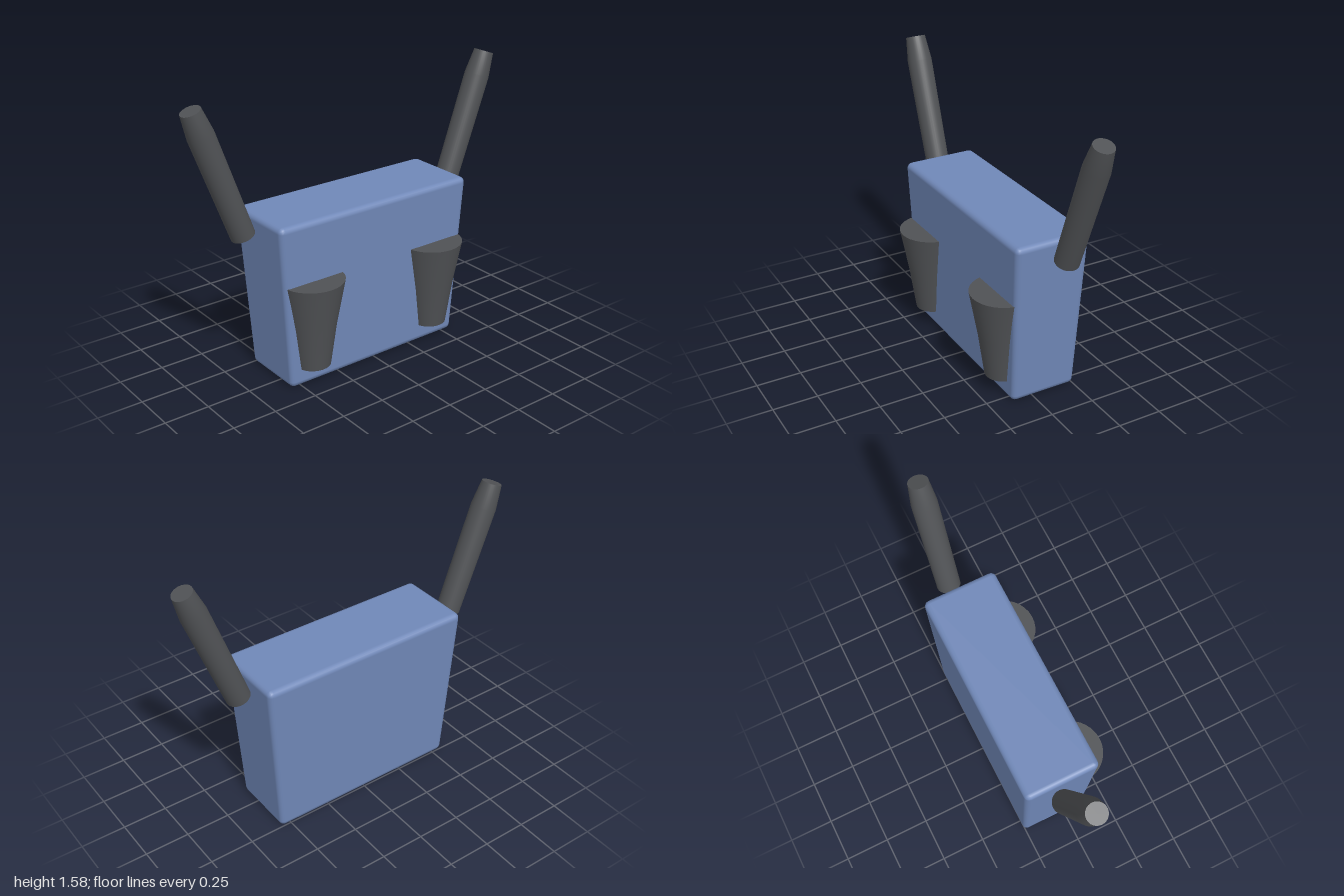
import * as THREE from 'three';
import { RoundedBoxGeometry } from 'three/addons/geometries/RoundedBoxGeometry.js';

const blue = new THREE.MeshStandardMaterial({ color: 0x7088b8 });
const dark = new THREE.MeshStandardMaterial({ color: 0x505255 });

// Rounded box that narrows evenly towards its base
function taperedBox(w, h, d, bottomX, bottomZ, radius) {
  const geo = new RoundedBoxGeometry(w, h, d, 2, radius);
  const pos = geo.attributes.position, nor = geo.attributes.normal;
  const slopeX = (w / 2) * (1 - bottomX) / h;
  const slopeZ = (d / 2) * (1 - bottomZ) / h;
  const n = new THREE.Vector3();
  for (let i = 0; i < pos.count; i++) {
    const t = pos.getY(i) / h + 0.5;
    pos.setX(i, pos.getX(i) * THREE.MathUtils.lerp(bottomX, 1, t));
    pos.setZ(i, pos.getZ(i) * THREE.MathUtils.lerp(bottomZ, 1, t));
    // lean the wall normals with the taper
    n.fromBufferAttribute(nor, i);
    n.y -= Math.abs(n.x) * slopeX + Math.abs(n.z) * slopeZ;
    n.normalize();
    nor.setXYZ(i, n.x, n.y, n.z);
  }
  return geo;
}

// Round solid from [radius, height] pairs with sharp, flat end caps
function turned(name, profile) {
  const group = new THREE.Group();
  group.name = name;
  const side = new THREE.Mesh(
    new THREE.LatheGeometry(profile.map(([r, y]) => new THREE.Vector2(r, y)), 32), dark);
  side.name = name + 'Side';
  group.add(side);
  [profile[0], profile[profile.length - 1]].forEach(([r, y], i) => {
    const cap = new THREE.Mesh(new THREE.CircleGeometry(r, 32), dark);
    cap.name = name + (i ? 'Top' : 'Bottom');
    cap.rotation.x = i ? -Math.PI / 2 : Math.PI / 2;
    cap.position.y = y;
    group.add(cap);
  });
  return group;
}

export function createModel() {
  const model = new THREE.Group();
  model.name = 'torso';

  // Main body
  const body = new THREE.Mesh(taperedBox(1.244, 0.94, 0.43, 0.902, 0.885, 0.032), blue);
  body.name = 'body';
  body.position.set(0, 0.47, -0.065);
  model.add(body);

  for (const s of [1, -1]) {
    const label = s > 0 ? 'left' : 'right';

    // Tapered cup half sunk into the front
    const cup = turned(label + 'FrontCup', [[0.098, 0], [0.132, 0.24], [0.18, 0.5]]);
    cup.position.set(s * 0.407, 0.1, 0.1);
    model.add(cup);

    // Raised arm leaning outwards from the shoulder
    const arm = turned(label + 'Arm', [[0.066, 0], [0.07, 0.615], [0.055, 0.753]]);
    arm.position.set(s * 0.69, 0.85, -0.095);
    arm.rotation.z = -s * 0.35;
    model.add(arm);
  }
  return model;
}
